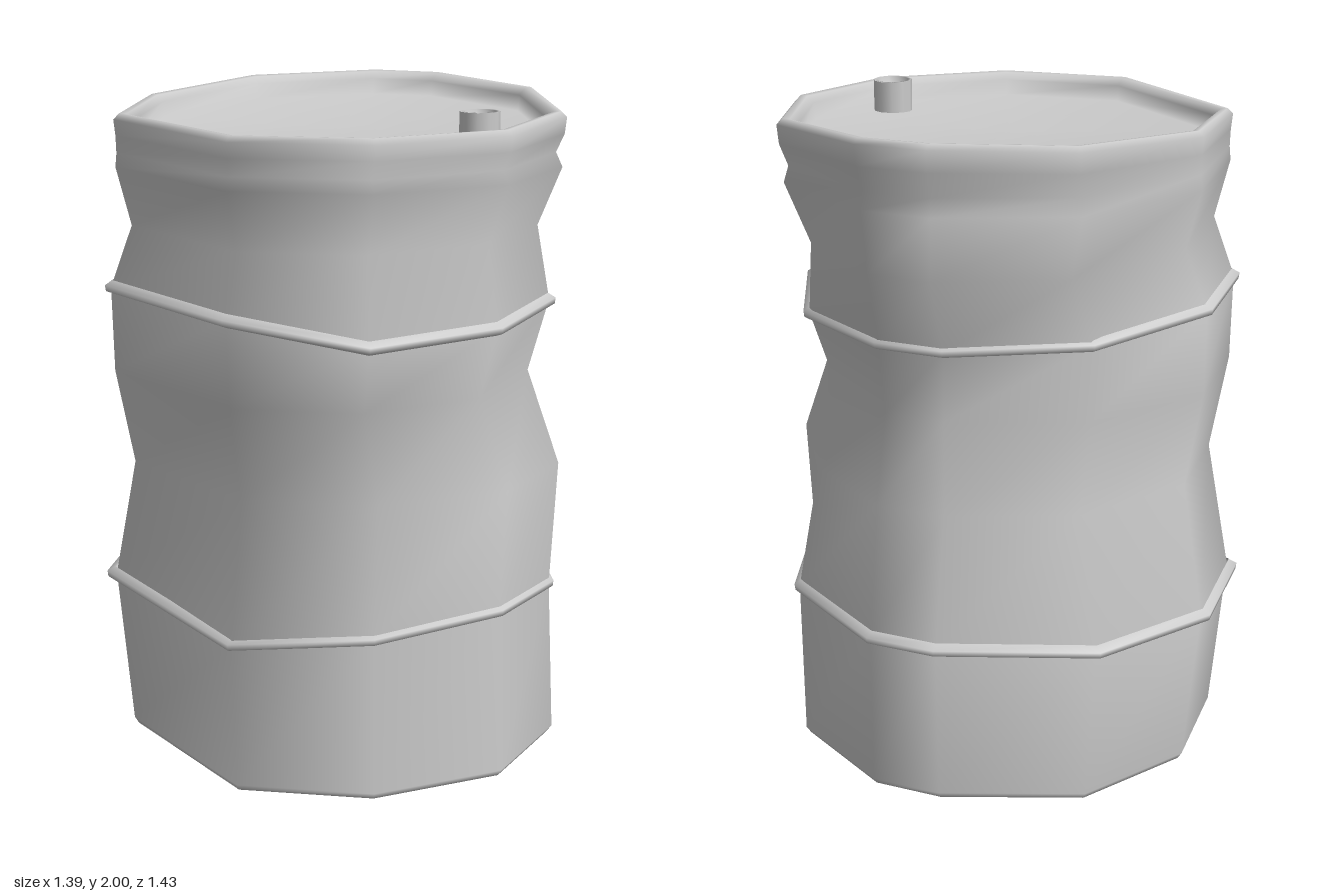
import * as THREE from 'three';

// Irregular ten-sided outline (x, z), running back -> +x -> front -> -x
const OUTLINE = [
  [0.02, -0.72], [0.235, -0.69], [0.565, -0.43], [0.69, 0.035], [0.565, 0.435],
  [0.215, 0.68], [-0.195, 0.68], [-0.625, 0.25], [-0.625, -0.17], [-0.375, -0.58],
];
const N = OUTLINE.length;
const DENT_CORNER = 2;

// Lower down, the corners on the -x side are pushed towards the back
const LOW_OUTLINE = [...OUTLINE.slice(0, 7), [-0.625, 0.185], [-0.625, -0.237], [-0.402, -0.592]];

// Wavy heights of the two hoops, one per outline corner
const LOW_WAVE = [0.5, 0.5, 0.52, 0.495, 0.52, 0.49, 0.45, 0.5, 0.5, 0.5];
const HIGH_WAVE = [1.38, 1.38, 1.38, 1.39, 1.38, 1.365, 1.43, 1.43, 1.43, 1.4];

// Extents: [xMin, xMax, zMin, zMax]
const BASE = [0.622, 0.695, 0.672, 0.645];
const TOP = [0.625, 0.695, 0.716, 0.682];

// The rim rises towards the back
const rise = (z) => 0.06 * ((0.68 - z) / 1.4) ** 2;

// One cross-section: an outline stretched to its extents. wave gives a height per corner,
// tilt is the share of the rim's rise, dent pulls the back corner on the +x side inwards.
function section(y, [xMin, xMax, zMin, zMax], { scale = 1, wave = null, tilt = 0, dent = 1, outline = OUTLINE } = {}) {
  return outline.map(([px, pz], i) => {
    const s = scale * (i === DENT_CORNER ? dent : 1);
    const x = px * (px < 0 ? xMin / 0.625 : xMax / 0.69) * s;
    const z = pz * (pz < 0 ? zMin / 0.72 : zMax / 0.68) * s;
    return [x, y + (wave ? wave[i] : 0) + tilt * rise(z), z];
  });
}

// Skin a list of cross-sections with smooth normals
function loft(name, sections, material) {
  const index = [];
  for (let l = 0; l < sections.length - 1; l++) {
    for (let i = 0; i < N; i++) {
      const j = (i + 1) % N;
      const a = l * N + i, b = l * N + j, c = b + N, d = a + N;
      index.push(a, d, b, b, d, c);
    }
  }
  const geometry = new THREE.BufferGeometry();
  geometry.setAttribute('position', new THREE.Float32BufferAttribute(sections.flat(2), 3));
  geometry.setIndex(index);
  geometry.computeVertexNormals();
  const mesh = new THREE.Mesh(geometry, material);
  mesh.name = name;
  return mesh;
}

// A raised hoop following a wave
function hoop(name, extents, options, material) {
  const profile = [[-0.02, 0.965], [-0.012, 0.996], [0.006, 1], [0.02, 0.965]];
  return loft(name, profile.map(([y, scale]) => section(y, extents, { ...options, scale })), material);
}

export function createModel() {
  const group = new THREE.Group();
  group.name = 'dentedBarrel';
  const grey = new THREE.MeshStandardMaterial({ color: 0xcccccc, side: THREE.DoubleSide });

  // Recessed underside and foot: [height, scale]
  const foot = [[0.075, 0], [0.075, 0.885], [0.01, 0.895], [0, 0.92], [0, 0.98], [0.02, 1]];
  // Rolled rim and recessed lid: [height, scale, tilt]
  const rim = [[1.88, 0.992, 0.7], [1.925, 1, 1], [1.942, 0.975, 1], [1.94, 0.945, 1],
    [1.92, 0.915, 1], [1.872, 0.908, 1], [1.872, 0, 1]];

  // Closed shell with dented side wall
  group.add(loft('shell', [
    ...foot.map(([y, scale]) => section(y, BASE, { scale, dent: 0.975, outline: LOW_OUTLINE })),
    section(0, [0.67, 0.675, 0.69, 0.63], { wave: LOW_WAVE, outline: LOW_OUTLINE }),
    section(0.88, [0.59, 0.695, 0.593, 0.59], { dent: 0.905 }),
    section(1.17, [0.64, 0.595, 0.597, 0.66], { dent: 0.925 }),
    section(0, [0.643, 0.655, 0.59, 0.695], { wave: HIGH_WAVE, dent: 0.97 }),
    section(1.615, [0.58, 0.615, 0.705, 0.64], { dent: 0.96 }),
    section(1.79, [0.622, 0.685, 0.682, 0.68]),
    section(1.83, [0.618, 0.665, 0.684, 0.68], { tilt: 0.3 }),
    ...rim.map(([y, scale, tilt]) => section(y, TOP, { scale, tilt })),
  ], grey));

  // Hoops
  group.add(hoop('lowerHoop', [0.7, 0.69, 0.712, 0.642], { wave: LOW_WAVE, outline: LOW_OUTLINE }, grey));
  group.add(hoop('upperHoop', [0.66, 0.675, 0.605, 0.717], { wave: HIGH_WAVE, dent: 0.97 }, grey));

  // Hollow filler spout on the lid
  const spoutProfile = [[0.06, 0], [0.06, 0.115], [0.06, 0.115], [0.05, 0.115], [0.045, 0.06], [0, 0.05]];
  const spout = new THREE.Mesh(
    new THREE.LatheGeometry(spoutProfile.map(([r, y]) => new THREE.Vector2(r, y)), 11), grey);
  spout.name = 'spout';
  spout.position.set(0.457, 1.86, 0.252);
  group.add(spout);

  return group;
}
